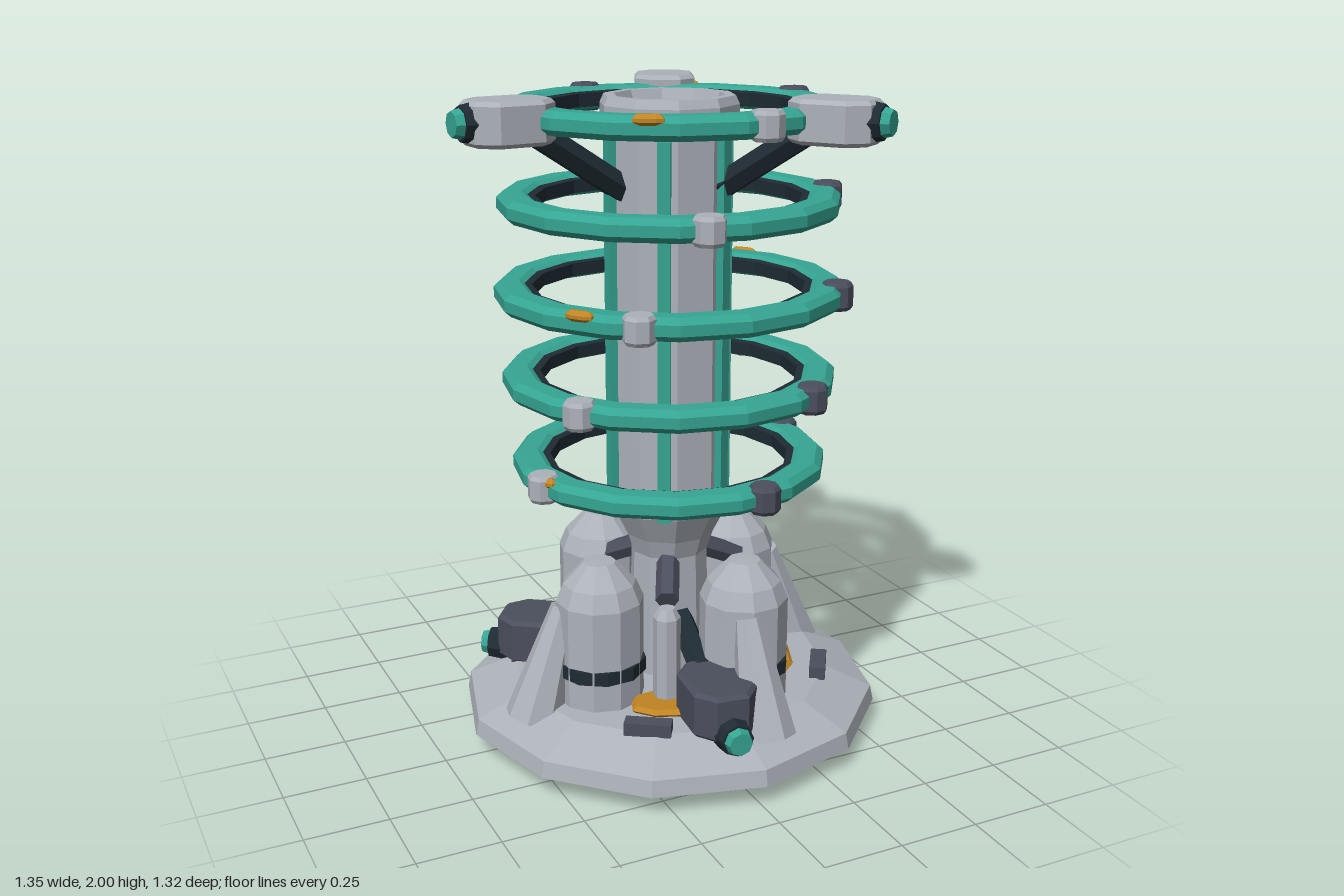
import * as THREE from 'three';

const mat = (name, color) => {
  const m = new THREE.MeshStandardMaterial({ color });
  m.name = name;
  return m;
};

export function createModel() {
  const light = mat('light grey', 0xadb2ba);
  const slate = mat('slate', 0x4b4f5d);
  const black = mat('near black', 0x1f2b33);
  const teal = mat('teal', 0x36a593);
  const amber = mat('amber', 0xc08424);

  const model = new THREE.Group();
  model.name = 'coilTower';
  const root = new THREE.Group();
  root.name = 'tower';
  root.position.x = 0.01;
  model.add(root);

  // Faceted mesh
  const add = (parent, name, geometry, material, x = 0, y = 0, z = 0) => {
    const g = geometry.index ? geometry.toNonIndexed() : geometry;
    g.computeVertexNormals();
    const mesh = new THREE.Mesh(g, material);
    mesh.name = name;
    mesh.position.set(x, y, z);
    parent.add(mesh);
    return mesh;
  };
  // Group whose +x axis points outwards at an angle, measured from +x towards +z
  const spoke = (name, degrees) => {
    const g = new THREE.Group();
    g.name = name;
    g.rotation.y = -THREE.MathUtils.degToRad(degrees);
    root.add(g);
    return g;
  };
  const lathe = (points, sides) =>
    new THREE.LatheGeometry(points.map(p => new THREE.Vector2(...p)), sides, Math.PI / 2);
  const cyl = (rTop, rBottom, h, sides) => new THREE.CylinderGeometry(rTop, rBottom, h, sides);
  // Tapered rod between two points
  const rod = (parent, name, a, b, ra, rb, sides, material) => {
    const from = new THREE.Vector3(...a), to = new THREE.Vector3(...b);
    const dir = to.clone().sub(from);
    const mesh = add(parent, name, cyl(rb, ra, dir.length(), sides), material);
    mesh.position.copy(from).add(to).multiplyScalar(0.5);
    mesh.quaternion.setFromUnitVectors(new THREE.Vector3(0, 1, 0), dir.normalize());
    return mesh;
  };
  // Long octagonal housing with bevelled edges, standing on y = 0
  const housing = (length, width, height) => {
    const l = length / 2, w = width / 2, b = 0.012;
    const s = new THREE.Shape();
    [[l, w * 0.5], [l * 0.55, w], [-l * 0.55, w], [-l, w * 0.5],
      [-l, -w * 0.5], [-l * 0.55, -w], [l * 0.55, -w], [l, -w * 0.5]]
      .forEach(([x, y], i) => (i ? s.lineTo(x, y) : s.moveTo(x, y)));
    s.closePath();
    return new THREE.ExtrudeGeometry(s, {
      depth: height - 2 * b, bevelThickness: b, bevelSize: b, bevelOffset: -b, bevelSegments: 1,
    }).translate(0, 0, b).rotateX(-Math.PI / 2);
  };
  const nozzle = (parent, x, y, end) => {
    rod(parent, 'nozzleCollar', [x, y, 0], [end - 0.025, y, 0], 0.06, 0.05, 8, black);
    rod(parent, 'nozzleTip', [end - 0.03, y, 0], [end, y, 0], 0.044, 0.036, 8, teal);
  };

  // Base dish and underside plate
  add(root, 'base', lathe([[0, 0.012], [0.57, 0.012], [0.66, 0.065], [0.65, 0.115],
    [0.5, 0.18], [0, 0.185]], 12), light);
  add(root, 'basePlate', cyl(0.37, 0.36, 0.02, 10), black, 0, 0.01);

  // Central column with recessed cap
  add(root, 'column', lathe([[0, 0.18], [0.13, 0.18], [0.12, 0.58], [0.14, 0.64], [0.185, 0.73],
    [0.185, 1.87], [0.207, 1.9], [0.207, 1.96], [0.195, 1.985], [0.165, 1.985],
    [0.155, 1.955], [0, 1.955]], 10), light);
  for (let i = 0; i < 6; i++) {
    add(spoke('columnStrip', i * 60), 'strip', new THREE.BoxGeometry(0.04, 1.14, 0.038), teal, 0.183, 1.3);
  }

  // Stacked rings with clamps and amber markers
  [0.485, 0.51, 0.525, 0.507, 0.482].forEach((R, i) => {
    const y = 1.94 - i * 0.2665;
    const inner = R - 0.095;
    add(root, 'ring', lathe([[inner, -0.022], [inner + 0.02, -0.034], [R - 0.02, -0.034], [R, -0.016],
      [R, 0.016], [R - 0.02, 0.034], [inner + 0.02, 0.034], [inner, 0.022], [inner, -0.022]], 16), teal, 0, y);
    add(root, 'ringLiner', lathe([[inner - 0.02, -0.02], [inner + 0.005, -0.024], [inner + 0.005, 0.024],
      [inner - 0.02, 0.02], [inner - 0.02, -0.02]], 16), black, 0, y);
    const phase = 81 + 22 * i;
    [light, slate, slate].forEach((m, k) => {
      add(spoke('ringClamp', phase - 90 * k), 'clamp', lathe([[0, -0.042], [0.04, -0.042], [0.048, -0.03],
        [0.048, 0.03], [0.04, 0.042], [0, 0.042]], 8), m, R - 0.022, y);
    });
    if (i % 2 === 0) {
      for (const turn of [0, 180]) {
        add(spoke('ringMarker', 122.5 + 11 * i + turn), 'marker',
          housing(0.085, 0.034, 0.034).rotateY(Math.PI / 2), amber, R - 0.018, y + 0.006);
      }
    }
  });

  // Upper pods on slanted arms
  for (const a of [54, 174, 294]) {
    const s = spoke('upperPod', a);
    add(s, 'podHousing', housing(0.245, 0.19, 0.125), light, 0.52, 1.875);
    nozzle(s, 0.61, 1.94, 0.69);
    rod(s, 'podArm', [0.14, 1.71, 0], [0.45, 1.91, 0], 0.042, 0.042, 6, black);
  }

  // Tanks, buttresses, amber floor plates and floor bars, four of each
  for (let i = 0; i < 4; i++) {
    const a = i * 90;
    const tank = spoke('tank', 68.5 + a);
    add(tank, 'tankBody', lathe([[0, 0.18], [0.135, 0.18], [0.135, 0.5], [0.112, 0.555],
      [0.05, 0.62], [0, 0.622]], 10), light, 0.31);
    add(tank, 'tankBand', cyl(0.141, 0.141, 0.042, 10), black, 0.31, 0.29);
    rod(spoke('buttress', 80.5 + a), 'buttressBody', [0.505, 0.13, 0], [0.395, 0.475, -0.01],
      0.092, 0.042, 8, light);
    add(spoke('floorPlate', 22.5 + a), 'plate', housing(0.15, 0.26, 0.025), amber, 0.32, 0.178);
    add(spoke('floorBar', 33 + a), 'bar', new THREE.BoxGeometry(0.05, 0.04, 0.14), slate, 0.48, 0.195);
  }

  // Lower thruster pods with feed pipes
  for (const a of [96, 216, 336]) {
    const s = spoke('lowerPod', a);
    add(s, 'lowerHousing', housing(0.27, 0.2, 0.145), slate, 0.42, 0.172);
    nozzle(s, 0.52, 0.195, 0.62);
    rod(s, 'feedPipe', [0.1, 0.38, 0], [0.33, 0.27, 0], 0.04, 0.04, 6, black);
  }

  // Slim canisters joined to the column by slanted pipes
  for (const a of [117, 237, 357]) {
    const s = spoke('canister', a);
    add(s, 'canisterBody', lathe([[0, 0.18], [0.042, 0.18], [0.042, 0.46], [0.025, 0.49], [0, 0.49]], 8),
      light, 0.28);
    rod(s, 'canisterPipe', [0.1, 0.57, 0], [0.25, 0.5, 0], 0.036, 0.036, 6, slate);
  }

  return model;
}
